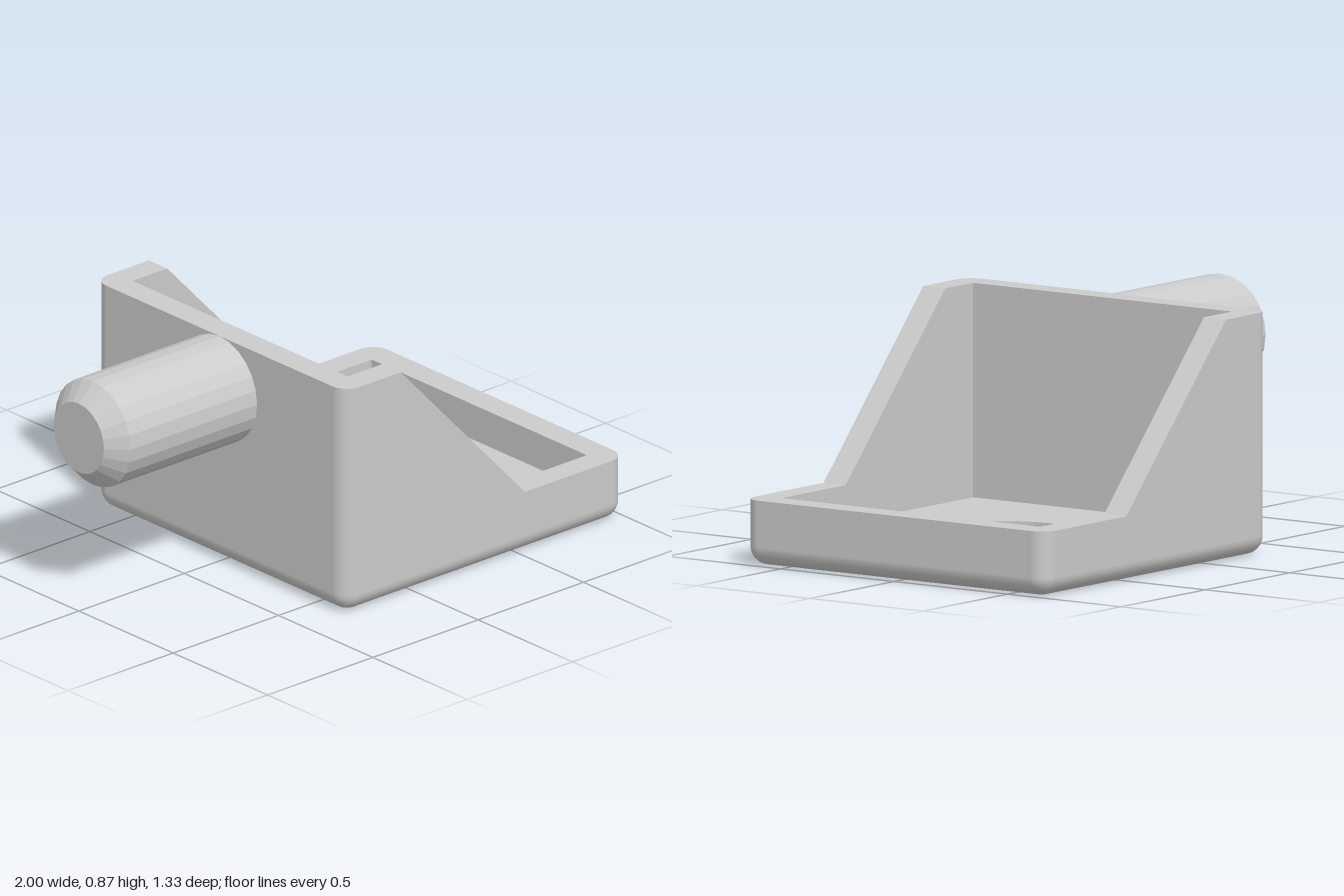
import * as THREE from 'three';

const X0 = -0.333, X1 = 1, Z = 0.667;        // outer footprint
const IX0 = -0.235, IX1 = 0.9, IZ = 0.57;    // inner pocket
const R = 0.067, FLOOR = 0.1;                // edge rounding, floor thickness
const TOP = 0.867, RIM = 0.235;              // high wall and low rim
const SLOPE0 = -0.07, SLOPE1 = 0.52;         // start and end of the sloping sides
const HOLE_X = 0.333, HOLE_R = 0.235;
const STEPS = 6;

const grey = (opts = {}) => new THREE.MeshStandardMaterial({ color: 0xcccccc, ...opts });
const { clamp } = THREE.MathUtils;

// Wall height along x: high, sloping, low
const heightAt = x => THREE.MathUtils.lerp(TOP, RIM, clamp((x - SLOPE0) / (SLOPE1 - SLOPE0), 0, 1));

// Rounded outline: each entry is a rounding centre plus an outward direction
function makeOutline() {
  const pts = [];
  const corner = (cx, cz, start) => {
    for (let i = 0; i <= STEPS; i++) {
      const t = start + (i / STEPS) * Math.PI / 2;
      pts.push({ cx, cz, dx: Math.cos(t), dz: Math.sin(t) });
    }
  };
  const side = (xs, s) => xs.forEach(x => pts.push({ cx: x, cz: s * (Z - R), dx: 0, dz: s }));
  corner(X1 - R, Z - R, 0);
  side([SLOPE1, SLOPE0], 1);
  corner(X0 + R, Z - R, Math.PI / 2);
  corner(X0 + R, R - Z, Math.PI);
  side([SLOPE0, SLOPE1], -1);
  corner(X1 - R, R - Z, Math.PI * 1.5);
  return pts;
}

// Joins closed rings of points, ring after ring
function loft(rings, normals) {
  const n = rings[0].length, index = [];
  for (let j = 0; j < rings.length - 1; j++) {
    for (let i = 0; i < n; i++) {
      const k = (i + 1) % n;
      const a = j * n + i, b = a + n, c = (j + 1) * n + k, d = j * n + k;
      index.push(a, b, c, a, c, d);
    }
  }
  const g = new THREE.BufferGeometry();
  g.setAttribute('position', new THREE.Float32BufferAttribute(rings.flat(2), 3));
  g.setIndex(index);
  if (normals) {
    g.setAttribute('normal', new THREE.Float32BufferAttribute(normals.flat(2), 3));
    return g;
  }
  const flat = g.toNonIndexed();
  flat.computeVertexNormals();
  return flat;
}

export function createModel() {
  const group = new THREE.Group();
  const add = (name, geometry, material = grey()) => {
    const mesh = new THREE.Mesh(geometry, material);
    mesh.name = name;
    group.add(mesh);
    return mesh;
  };
  const outline = makeOutline();

  // Outer skin: rounded bottom edge, then straight up to the wall height
  const rings = [], normals = [];
  for (let j = 0; j <= STEPS; j++) {
    const a = (j / STEPS) * Math.PI / 2, s = Math.sin(a), c = Math.cos(a);
    rings.push(outline.map(p => [p.cx + p.dx * R * s, R * (1 - c), p.cz + p.dz * R * s]));
    normals.push(outline.map(p => [p.dx * s, -c, p.dz * s]));
  }
  const topRing = rings[STEPS].map(([x, , z]) => [x, heightAt(x), z]);
  rings.push(topRing);
  normals.push(normals[STEPS]);
  add('outerWalls', loft(rings, normals));

  // Rim and sharp-cornered pocket walls
  const innerTop = topRing.map(([x, , z]) => {
    const ix = clamp(x, IX0, IX1);
    return [ix, heightAt(ix), clamp(z, -IZ, IZ)];
  });
  const innerBottom = innerTop.map(([x, , z]) => [x, FLOOR, z]);
  add('rimAndInnerWalls', loft([topRing, innerTop, innerBottom]));

  // Floor plate with the screw hole
  const ax = X0 + R, bx = X1 - R, bz = Z - R;
  const plate = new THREE.Shape([[ax, -bz], [bx, -bz], [bx, bz], [ax, bz]].map(p => new THREE.Vector2(...p)));
  plate.holes.push(new THREE.Path().absarc(HOLE_X, 0, HOLE_R, 0, Math.PI * 2, true));
  const floor = new THREE.ExtrudeGeometry(plate, { depth: FLOOR, bevelEnabled: false, curveSegments: 16 });
  floor.rotateX(-Math.PI / 2);
  add('floor', floor);

  // Chamfered peg on the tall wall
  const profile = [[0.2, 0.32], [0.2, 0.933], [0.133, 1], [0, 1]].map(p => new THREE.Vector2(...p));
  const peg = add('peg', new THREE.LatheGeometry(profile, 24), grey({ flatShading: true }));
  peg.rotation.z = Math.PI / 2;
  peg.position.y = TOP - 0.2;

  return group;
}
